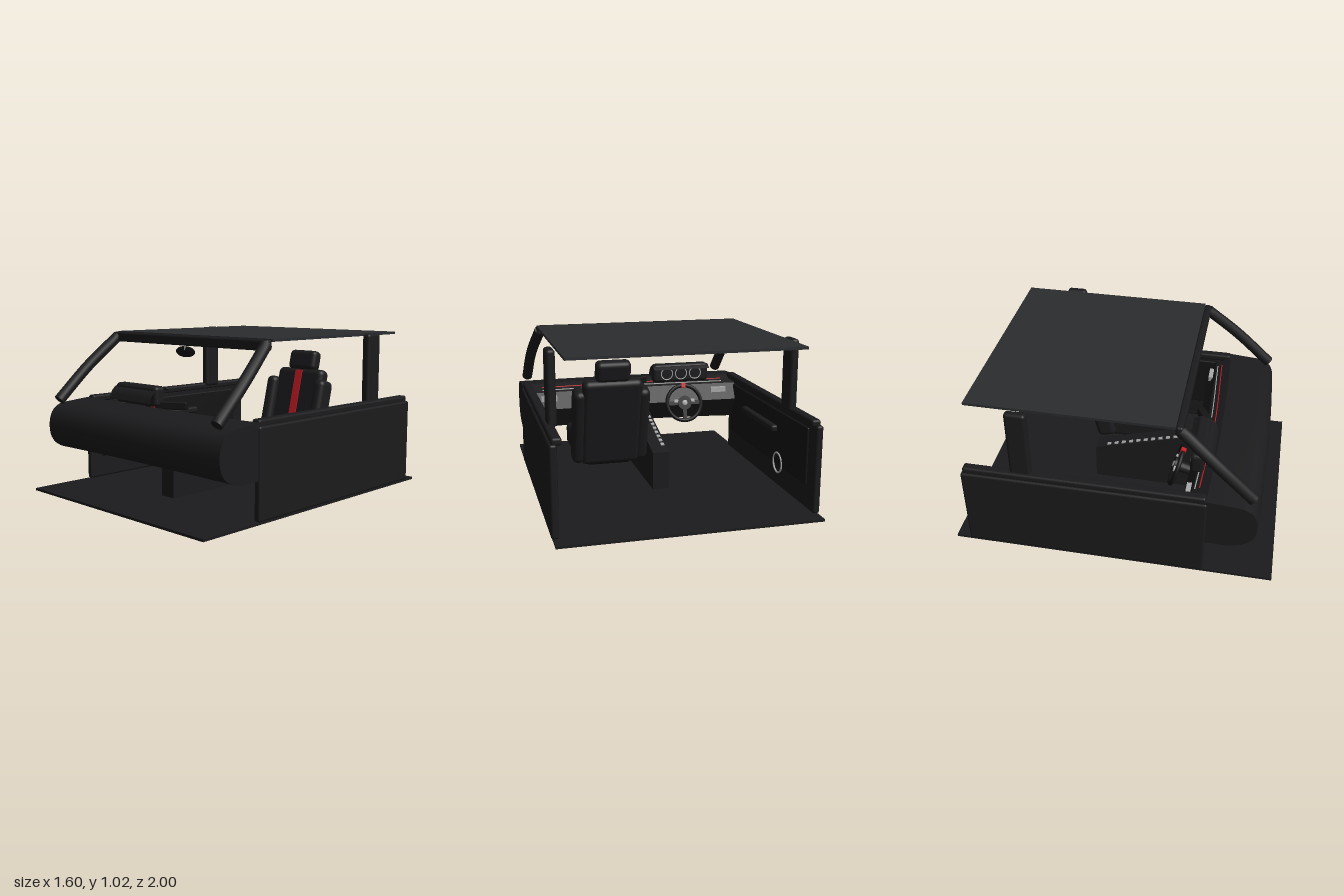
import * as THREE from 'three';
import { RoundedBoxGeometry } from 'three/addons/geometries/RoundedBoxGeometry.js';
import { toCreasedNormals } from 'three/addons/utils/BufferGeometryUtils.js';

const mat = (color) => new THREE.MeshStandardMaterial({ color });
const dark = mat(0x1b1b1d);
const black = mat(0x141415);
const roofGrey = mat(0x2a2c2f);
const red = mat(0xc41e25);
const silver = mat(0xaaaaaa);
const sheet = mat(0x1b1b1d);
sheet.side = THREE.DoubleSide;

export function createModel() {
  const model = new THREE.Group();

  const add = (name, geometry, material, x = 0, y = 0, z = 0, parent = model) => {
    const mesh = new THREE.Mesh(geometry, material);
    mesh.name = name;
    mesh.position.set(x, y, z);
    parent.add(mesh);
    return mesh;
  };
  const box = (name, w, h, d, x, y, z, material = dark, parent = model) =>
    add(name, new THREE.BoxGeometry(w, h, d), material, x, y, z, parent);
  const soft = (name, w, h, d, r, x, y, z, material = dark, parent = model) =>
    add(name, new RoundedBoxGeometry(w, h, d, 3, r), material, x, y, z, parent);
  const group = (name, x, y, z) => {
    const g = new THREE.Group();
    g.name = name;
    g.position.set(x, y, z);
    model.add(g);
    return g;
  };
  const points = (list) => list.map((p) => new THREE.Vector3(...p));

  // Floor and roof
  box('floor', 1.58, 0.015, 2, 0, 0.0075, 0);
  box('roof', 1.4, 0.016, 1.24, 0, 1.01, -0.25, roofGrey);
  soft('windscreenHeader', 1.4, 0.065, 0.045, 0.015, 0, 0.983, 0.39);

  // Doors, pillars and sun visors, mirrored
  for (const s of [-1, 1]) {
    soft('door', 0.045, 0.54, 1.49, 0.015, s * 0.778, 0.285, -0.165);
    soft('doorSill', 0.06, 0.045, 1.47, 0.015, s * 0.757, 0.568, -0.165);
    soft('doorTrim', 0.02, 0.36, 1.3, 0.009, s * 0.752, 0.34, -0.16, black);
    soft('armrest', 0.05, 0.045, 0.55, 0.015, s * 0.725, 0.4, -0.1);
    const ring = add('speakerRing', new THREE.TorusGeometry(0.065, 0.006, 8, 32), silver, s * 0.74, 0.18, -0.4);
    ring.rotation.y = Math.PI / 2;
    soft('middlePillar', 0.055, 0.45, 0.13, 0.02, s * 0.738, 0.793, -0.543);

    const path = new THREE.CatmullRomCurve3(points([
      [s * 0.728, 0.585, 0.84], [s * 0.715, 0.8, 0.61], [s * 0.675, 0.985, 0.395]]));
    const section = new THREE.Shape().absarc(0, 0, 0.036, 0, Math.PI * 2);
    add('windscreenPillar', toCreasedNormals(new THREE.ExtrudeGeometry(section,
      { steps: 16, curveSegments: 6, extrudePath: path }), 0.9), dark);

    soft('sunVisor', 0.42, 0.014, 0.17, 0.006, s * 0.33, 0.977, 0.285, roofGrey);
  }

  // Dashboard: rounded profile drawn in (z, y), swept across and bowed forward
  const profile = new THREE.Shape();
  profile.moveTo(0.5, 0.27);
  profile.lineTo(0.58, 0.25);
  profile.lineTo(0.7, 0.248);
  profile.bezierCurveTo(0.84, 0.26, 0.88, 0.33, 0.88, 0.41);
  profile.bezierCurveTo(0.88, 0.49, 0.85, 0.54, 0.78, 0.558);
  profile.lineTo(0.57, 0.575);
  profile.lineTo(0.47, 0.53);
  profile.lineTo(0.41, 0.42);
  const dashGeo = new THREE.ExtrudeGeometry(profile, { depth: 1.58, steps: 24, bevelEnabled: false, curveSegments: 10 });
  dashGeo.translate(0, 0, -0.79);
  dashGeo.rotateY(-Math.PI / 2);
  const p = dashGeo.attributes.position;
  for (let i = 0; i < p.count; i++) {
    const bow = 1 - (p.getX(i) / 0.79) ** 2;
    p.setZ(i, p.getZ(i) + 0.02 * bow);
    if (p.getY(i) < 0.35) p.setY(i, p.getY(i) + 0.012 * bow);
  }
  add('dashboard', toCreasedNormals(dashGeo, 0.5), dark);

  // Trim lines along the dashboard edge
  const trimLine = (name, z, y, material) => add(name, new THREE.TubeGeometry(
    new THREE.CatmullRomCurve3(points([[-0.66, y, z], [0, y, z + 0.022], [0.66, y, z]])), 24, 0.004, 6), material);
  trimLine('dashLightStrip', 0.49, 0.543, silver);
  trimLine('dashRedStitching', 0.518, 0.557, red);
  for (const x of [-0.62, 0.62]) box('airVent', 0.11, 0.035, 0.03, x, 0.49, 0.45, silver);

  // Instrument binnacle with curved hood and gauges
  soft('binnacle', 0.41, 0.13, 0.085, 0.025, -0.335, 0.627, 0.485);
  const hoodCurve = new THREE.CatmullRomCurve3(points([
    [0, 0.59, 0.575], [0, 0.64, 0.555], [0, 0.675, 0.51], [0, 0.685, 0.46], [0, 0.66, 0.415]]));
  const hoodGeo = new THREE.PlaneGeometry(0.41, 1, 1, 14);
  const h = hoodGeo.attributes.position;
  for (let i = 0; i < h.count; i++) {
    const q = hoodCurve.getPoint(0.5 - h.getY(i));
    h.setXYZ(i, h.getX(i), q.y, q.z);
  }
  hoodGeo.computeVertexNormals();
  add('binnacleHood', hoodGeo, sheet, -0.335, 0, 0);
  for (const x of [-0.44, -0.335, -0.23])
    add('gaugeRing', new THREE.TorusGeometry(0.042, 0.004, 6, 28), silver, x, 0.625, 0.441);

  // Central screen turned towards the driver
  const screen = soft('centreScreen', 0.17, 0.05, 0.05, 0.008, -0.01, 0.583, 0.478, black);
  screen.rotation.y = 0.52;

  // Steering wheel
  const wheel = group('steeringWheel', -0.33, 0.43, 0.34);
  wheel.rotation.x = 0.3;
  add('wheelRim', new THREE.TorusGeometry(0.125, 0.014, 10, 40), black, 0, 0, 0, wheel);
  const hub = add('wheelHub', new THREE.CylinderGeometry(0.045, 0.05, 0.04, 24), dark, 0, 0, 0, wheel);
  hub.rotation.x = Math.PI / 2;
  for (const s of [-1, 1]) {
    box('wheelSpoke', 0.085, 0.028, 0.014, s * 0.08, 0, 0, dark, wheel);
    box('spokeControl', 0.03, 0.02, 0.012, s * 0.06, 0.015, -0.012, silver, wheel);
  }
  box('lowerSpoke', 0.028, 0.09, 0.014, 0, -0.08, 0, dark, wheel);
  const badge = add('hubButton', new THREE.SphereGeometry(0.02, 16, 10), silver, 0, 0, -0.02, wheel);
  badge.scale.z = 0.4;
  box('wheelTopMarker', 0.03, 0.034, 0.032, 0, 0.125, 0, red, wheel);
  const column = add('steeringColumn', new THREE.CylinderGeometry(0.03, 0.035, 0.14, 16), dark, 0, 0, 0.08, wheel);
  column.rotation.x = Math.PI / 2;

  // Centre console wedge with a row of buttons
  const side = new THREE.Shape([[-0.25, 0.012], [0.55, 0.012], [0.55, 0.46], [0.36, 0.43], [-0.25, 0.26]]
    .map(([z, y]) => new THREE.Vector2(z, y)));
  const consoleGeo = new THREE.ExtrudeGeometry(side, { depth: 0.11, bevelEnabled: false });
  consoleGeo.translate(0, 0, -0.055);
  consoleGeo.rotateY(-Math.PI / 2);
  add('centreConsole', consoleGeo, dark);
  for (let i = 0; i < 10; i++) {
    const z = -0.16 + i * 0.05;
    const button = box('consoleButton', 0.022, 0.012, 0.026, -0.032, 0.26 + (z + 0.25) * 0.279, z, silver);
    button.rotation.x = -0.272;
  }

  // Passenger seat: flat cushion and reclined back with bolsters, stripe and headrest
  const seat = group('passengerSeat', 0.335, 0, 0);
  soft('seatBase', 0.3, 0.08, 0.42, 0.03, 0, 0.24, -0.02, black, seat);
  soft('seatCushion', 0.36, 0.12, 0.46, 0.04, 0, 0.305, 0, dark, seat);
  const back = new THREE.Group();
  back.name = 'seatBack';
  back.position.set(0, 0.22, -0.225);
  back.rotation.x = -0.24;
  seat.add(back);
  soft('backrest', 0.37, 0.57, 0.09, 0.035, 0, 0.29, 0, dark, back);
  for (const s of [-1, 1]) {
    soft('cushionBolster', 0.08, 0.15, 0.46, 0.035, s * 0.165, 0.305, 0, dark, seat);
    soft('backBolster', 0.08, 0.49, 0.13, 0.035, s * 0.198, 0.26, 0.025, dark, back);
    add('headrestPost', new THREE.CylinderGeometry(0.008, 0.008, 0.08, 10), silver, s * 0.06, 0.58, -0.005, back);
  }
  box('backStripe', 0.055, 0.5, 0.01, 0, 0.31, 0.045, red, back);
  soft('headrest', 0.215, 0.13, 0.085, 0.03, 0, 0.63, 0.005, dark, back);

  // Rear-view mirror
  const mirror = add('rearViewMirror', new THREE.SphereGeometry(0.088, 28, 16), black, 0, 0.913, 0.392);
  mirror.scale.set(1, 0.39, 0.08);
  add('mirrorStem', new THREE.CylinderGeometry(0.006, 0.006, 0.06, 10), silver, 0, 0.955, 0.395);

  return model;
}
